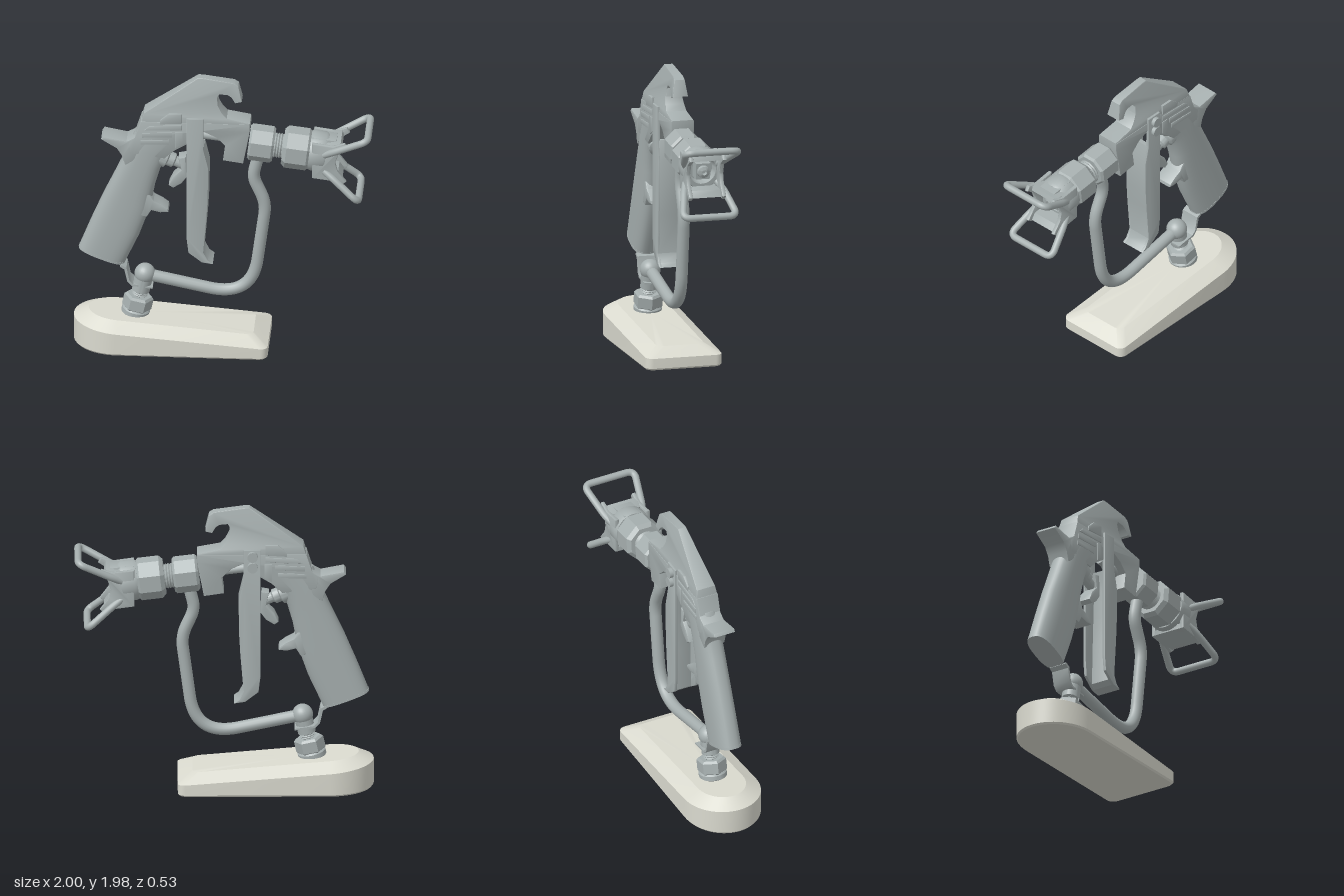
import * as THREE from 'three';
import { toCreasedNormals } from 'three/addons/utils/BufferGeometryUtils.js';

const gunMat = new THREE.MeshStandardMaterial({ color: 0xa6afaf, side: THREE.DoubleSide });
const baseMat = new THREE.MeshStandardMaterial({ color: 0xdadacf });
const V = (x, y, z) => new THREE.Vector3(x, y, z);
const ZC = -0.022; // middle plane of the gun body

export function createModel() {
  const model = new THREE.Group();

  const add = (name, geo, parent = model, mat = gunMat) => {
    const mesh = new THREE.Mesh(geo, mat);
    mesh.name = name;
    parent.add(mesh);
    return mesh;
  };

  // Side profile extruded about z = zc; scaleAt(y) narrows it with height
  const plate = (name, pts, zc, depth, bevel = 0.01, scaleAt = null) => {
    const shape = new THREE.Shape(pts.map(p => new THREE.Vector2(...p)));
    const geo = new THREE.ExtrudeGeometry(shape, {
      depth: depth - 2 * bevel, bevelEnabled: bevel > 0, bevelSize: bevel,
      bevelThickness: bevel, bevelOffset: -bevel, bevelSegments: 2,
    });
    geo.translate(0, 0, bevel - depth / 2);
    const pos = geo.attributes.position;
    for (let i = 0; i < pos.count; i++) {
      pos.setZ(i, pos.getZ(i) * (scaleAt ? scaleAt(pos.getY(i)) : 1) + zc);
    }
    return add(name, toCreasedNormals(geo, 0.6));
  };

  // Closed skin through rings of equal length, capped at both ends
  const loft = (name, rings, crease, mat) => {
    const n = rings[0].length, pos = [], idx = [];
    rings.forEach(r => r.forEach(p => pos.push(p.x, p.y, p.z)));
    for (let i = 0; i < rings.length - 1; i++) {
      for (let j = 0; j < n; j++) {
        const a = i * n + j, b = i * n + (j + 1) % n;
        idx.push(a, b, b + n, a, b + n, a + n);
      }
    }
    [rings[0], rings[rings.length - 1]].forEach((r, end) => {
      const c = r.reduce((s, p) => s.add(p), V(0, 0, 0)).divideScalar(n);
      const ci = pos.length / 3, off = end * (rings.length - 1) * n;
      pos.push(c.x, c.y, c.z);
      for (let j = 0; j < n; j++) {
        const a = off + j, b = off + (j + 1) % n;
        if (end) idx.push(ci, a, b); else idx.push(ci, b, a);
      }
    });
    const geo = new THREE.BufferGeometry();
    geo.setAttribute('position', new THREE.Float32BufferAttribute(pos, 3));
    geo.setIndex(idx);
    return add(name, toCreasedNormals(geo, crease), model, mat);
  };

  // Tube along a polyline with rounded corners
  const bentTube = (name, pts, radius, corner) => {
    const path = new THREE.CurvePath();
    let from = pts[0];
    for (let i = 1; i < pts.length; i++) {
      const p = pts[i], next = pts[i + 1];
      if (!next) { path.add(new THREE.LineCurve3(from, p)); break; }
      const c = Array.isArray(corner) ? corner[i - 1] : corner;
      const a = p.clone().add(from.clone().sub(p).setLength(c));
      const b = p.clone().add(next.clone().sub(p).setLength(c));
      path.add(new THREE.LineCurve3(from, a));
      path.add(new THREE.QuadraticBezierCurve3(a, p, b));
      from = b;
    }
    return add(name, new THREE.TubeGeometry(path, 90, radius, 14, false));
  };

  // Turned or many-sided part from [radius, height] pairs
  const turned = (name, pts, parent, sides = 32) => {
    const geo = new THREE.LatheGeometry(pts.map(p => new THREE.Vector2(...p)), sides, Math.PI / sides);
    return add(name, toCreasedNormals(geo, sides < 12 ? 0.2 : 0.6), parent);
  };
  const nut = (r, y0, y1, c = 0.02) => [[0, y0], [r - c, y0], [r, y0 + c], [r, y1 - c], [r - c, y1], [0, y1]];
  const thread = (r, y0, y1, turns) => {
    const pts = [];
    for (let i = 0; i <= 2 * turns; i++) pts.push([r - (i % 2) * 0.008, y0 + (y1 - y0) * i / (2 * turns)]);
    return pts;
  };

  // Base: round at one end, square at the other, with a sloping top
  const outline = (d, yAt) => {
    const pts = [], w = 0.265 - d, r = 0.05;
    const arc = (cx, cv, rx, rv, a0, a1, n) => {
      for (let i = 0; i <= n; i++) {
        const a = a0 + (a1 - a0) * i / n, x = cx + rx * Math.cos(a);
        pts.push(V(x, yAt(x), -(cv + rv * Math.sin(a))));
      }
    };
    arc(0.31 - d - r, r - w, r, r, -Math.PI / 2, 0, 5);
    arc(0.31 - d - r, w - r, r, r, 0, Math.PI / 2, 5);
    arc(-0.7, 0, 0.3 - d, w, Math.PI / 2, Math.PI * 1.5, 28);
    return pts;
  };
  loft('base', [
    outline(0.01, () => 0), outline(0, () => 0.012),
    outline(0, x => 0.185 - 0.08 * (x + 1)),
    outline(0.1, x => 0.235 - 0.085 * (x + 0.9)),
  ], 0.4, baseMat);

  // Handle grip: rounded sections between back and front edge points
  const grip = [
    [-0.965, 0.685, -0.66, 0.57], [-0.89, 0.877, -0.56, 0.79], [-0.805, 1.08, -0.49, 0.99],
    [-0.725, 1.25, -0.457, 1.166], [-0.666, 1.38, -0.42, 1.294], [-0.64, 1.47, -0.366, 1.39],
    [-0.59, 1.56, -0.27, 1.48],
  ];
  const gripRing = ([bx, by, fx, fy], s = 1) => Array.from({ length: 32 }, (_, i) => {
    const t = i / 32 * Math.PI * 2;
    const soft = v => Math.sign(v) * Math.abs(v) ** 0.75;
    const c = soft(Math.cos(t)) * s / 2, k = soft(Math.sin(t)) * s;
    return V((bx + fx) / 2 + (fx - bx) * c, (by + fy) / 2 + (fy - by) * c, ZC - 0.082 * k);
  });
  loft('handle', grip.map(g => gripRing(g)), 0.7);
  loft('handleCap', [gripRing([-0.968, 0.675, -0.663, 0.56], 1.01), gripRing([-0.963, 0.69, -0.658, 0.575], 1.01)], 0.7);
  plate('tailSpur', [[-0.56, 1.57], [-0.6, 1.535], [-0.645, 1.51], [-0.8, 1.54], [-0.815, 1.52], [-0.71, 1.455],
    [-0.675, 1.4], [-0.655, 1.33], [-0.55, 1.4]], ZC, 0.155, 0.006);
  plate('fingerRest', [[-0.49, 1.1], [-0.465, 1.06], [-0.41, 1.03], [-0.37, 1.0], [-0.365, 0.98], [-0.42, 0.975],
    [-0.48, 0.99], [-0.51, 0.94], [-0.57, 0.95], [-0.56, 1.15]], ZC, 0.13, 0.008);

  // Gun body and the tapering hook above it
  plate('body', [[-0.55, 1.665], [0.18, 1.665], [0.18, 1.61], [0.16, 1.5], [0.135, 1.37], [0, 1.39], [0.015, 1.5],
    [-0.045, 1.56], [-0.13, 1.6], [-0.245, 1.5], [-0.32, 1.455], [-0.39, 1.39], [-0.62, 1.42],
    [-0.63, 1.5], [-0.59, 1.54]], ZC, 0.158, 0.006);
  plate('hook', [[-0.55, 1.65], [-0.53, 1.72], [-0.17, 1.98], [-0.14, 1.98], [0.07, 1.95], [0.1, 1.93], [0.125, 1.82],
    [0.08, 1.81], [0.055, 1.85], [0.03, 1.865], [-0.025, 1.87], [-0.04, 1.845], [-0.035, 1.79], [-0.01, 1.74],
    [0.025, 1.7], [0.18, 1.67], [0.18, 1.65]], ZC, 0.156, 0.005, y => 1 - 0.62 * (y - 1.65) / 0.33);
  const ribs = [
    [[-0.42, 1.68], [-0.36, 1.73], [-0.275, 1.73], [-0.275, 1.66], [-0.42, 1.65]],
    [[-0.53, 1.6], [-0.49, 1.635], [-0.275, 1.645], [-0.275, 1.61]],
    [[-0.54, 1.545], [-0.54, 1.58], [-0.34, 1.59], [-0.34, 1.555]],
    [[-0.55, 1.495], [-0.55, 1.525], [-0.36, 1.535], [-0.36, 1.5]],
    [[-0.32, 1.47], [-0.32, 1.595], [-0.27, 1.595], [-0.27, 1.5]],
  ];
  for (const side of [-1, 1]) ribs.forEach(r => plate('bodyRib', r, ZC + side * 0.073, 0.022, 0.003));

  // Trigger: two cheeks joined by a front web, with pivot screws
  const front = [[-0.13, 1.47], [-0.097, 1.33], [-0.1, 1.1], [-0.108, 0.96], [-0.13, 0.695], [-0.1, 0.635], [-0.067, 0.61]];
  const cheek = [[-0.243, 1.7], [-0.13, 1.7], ...front, [-0.14, 0.62], [-0.23, 0.69], [-0.243, 0.8]];
  for (const side of [-1, 1]) plate('triggerCheek', cheek, ZC + side * 0.078, 0.022, 0.005);
  plate('triggerWeb', [...front, [-0.14, 0.62], [-0.17, 0.65], [-0.16, 0.96], [-0.145, 1.33], [-0.16, 1.47]], ZC, 0.165, 0.005);
  for (const y of [1.655, 1.58]) {
    const screw = add('triggerScrew', new THREE.CylinderGeometry(0.035, 0.035, 0.03, 20));
    screw.rotation.x = Math.PI / 2;
    screw.position.set(-0.19, y, -0.122);
  }
  plate('triggerLock', [[-0.3, 1.38], [-0.25, 1.39], [-0.243, 1.24], [-0.28, 1.19], [-0.335, 1.155], [-0.365, 1.175],
    [-0.335, 1.24], [-0.28, 1.29]], ZC, 0.1, 0.008);
  const knob = turned('lockKnob', [[0, -0.1], [0.07, -0.1], [0.07, 0], [0.05, 0.01], [0.05, 0.05], [0.035, 0.06], [0.035, 0.12], [0, 0.12]], model);
  knob.position.set(-0.38, 1.36, ZC);
  knob.rotation.z = -Math.PI / 2 - 0.4;
  const rod = add('needleRod', new THREE.CylinderGeometry(0.03, 0.03, 0.22, 16));
  rod.position.set(-0.07, 1.535, ZC);
  rod.rotation.z = -Math.PI / 2 - 0.12;

  // Nozzle train, stacked along its own tilted axis
  const nozzle = new THREE.Group();
  nozzle.name = 'nozzle';
  nozzle.position.set(0.17, 1.508, -0.008);
  nozzle.rotation.z = -Math.PI / 2 - 0.12;
  model.add(nozzle);
  turned('barrelNut', nut(0.124, 0, 0.17, 0.015), nozzle, 8);
  turned('nozzleThread', thread(0.085, 0.16, 0.25, 5), nozzle);
  turned('retainingNut', nut(0.143, 0.23, 0.42, 0.025), nozzle, 8);
  turned('guardCollar', [[0, 0.41], [0.13, 0.41], [0.137, 0.43], [0.137, 0.51], [0.125, 0.53], [0.095, 0.53], [0.085, 0.47], [0, 0.47]], nozzle);
  add('tipHolder', new THREE.BoxGeometry(0.11, 0.1, 0.1), nozzle).position.set(0, 0.5, 0);
  turned('tip', [[0.045, 0.54], [0.04, 0.57], [0.018, 0.58], [0.014, 0.555], [0, 0.555]], nozzle, 20);

  // Tip guard: cheeks, bridges and two wire wings
  for (const side of [-1, 1]) {
    plate('guardCheek', [[0.6, 1.57], [0.74, 1.55], [0.82, 1.575], [0.84, 1.54], [0.78, 1.5], [0.755, 1.43], [0.77, 1.37],
      [0.83, 1.29], [0.8, 1.265], [0.745, 1.29], [0.6, 1.31]], -0.008 + side * 0.115, 0.03, 0.008);
  }
  plate('upperBridge', [[0.6, 1.58], [0.76, 1.56], [0.77, 1.525], [0.6, 1.54]], -0.008, 0.13, 0.005);
  plate('upperLip', [[0.69, 1.55], [0.79, 1.56], [0.8, 1.53], [0.7, 1.515]], -0.008, 0.22, 0.005);
  plate('lowerLip', [[0.6, 1.345], [0.77, 1.325], [0.8, 1.28], [0.745, 1.288], [0.6, 1.31]], -0.008, 0.22, 0.005);
  const wing = (name, root, mid, tip) => bentTube(name, [
    V(...root, 0.105), V(...mid, 0.135), V(...tip, 0.188), V(...tip, -0.19), V(...mid, -0.145), V(...root, -0.115),
  ], 0.024, [0.03, 0.06, 0.06, 0.03]);
  wing('upperWing', [0.68, 1.48], [0.75, 1.52], [0.975, 1.632]);
  wing('lowerWing', [0.68, 1.36], [0.75, 1.31], [0.913, 1.172]);

  // Fluid tube from the barrel round to the elbow
  bentTube('fluidTube', [V(0.24, 1.43, 0), V(0.195, 1.25, 0), V(0.285, 1.05, 0), V(0.19, 0.34, 0), V(-0.52, 0.49, 0)],
    0.041, [0.06, 0.08, 0.29]);
  const stem = new THREE.Group();
  stem.name = 'stem';
  stem.position.set(-0.525, 0.495, 0);
  stem.rotation.z = -0.22;
  model.add(stem);
  add('elbow', new THREE.SphereGeometry(0.07, 24, 16), stem);
  turned('elbowNeck', [[0.06, -0.13], [0.06, 0]], stem);
  turned('stemThread', thread(0.052, -0.2, -0.12, 6), stem);
  turned('stemNut', nut(0.1, -0.27, -0.165, 0.015), stem, 6);
  turned('stemCollar', nut(0.095, -0.31, -0.26, 0.01), stem);

  // Thin strap joining the handle foot to the elbow
  plate('strap', [[-0.68, 0.578], [-0.645, 0.56], [-0.625, 0.46], [-0.6, 0.435], [-0.47, 0.415], [-0.47, 0.405],
    [-0.61, 0.422], [-0.64, 0.455], [-0.66, 0.545], [-0.69, 0.565]], -0.01, 0.13, 0);

  return model;
}
